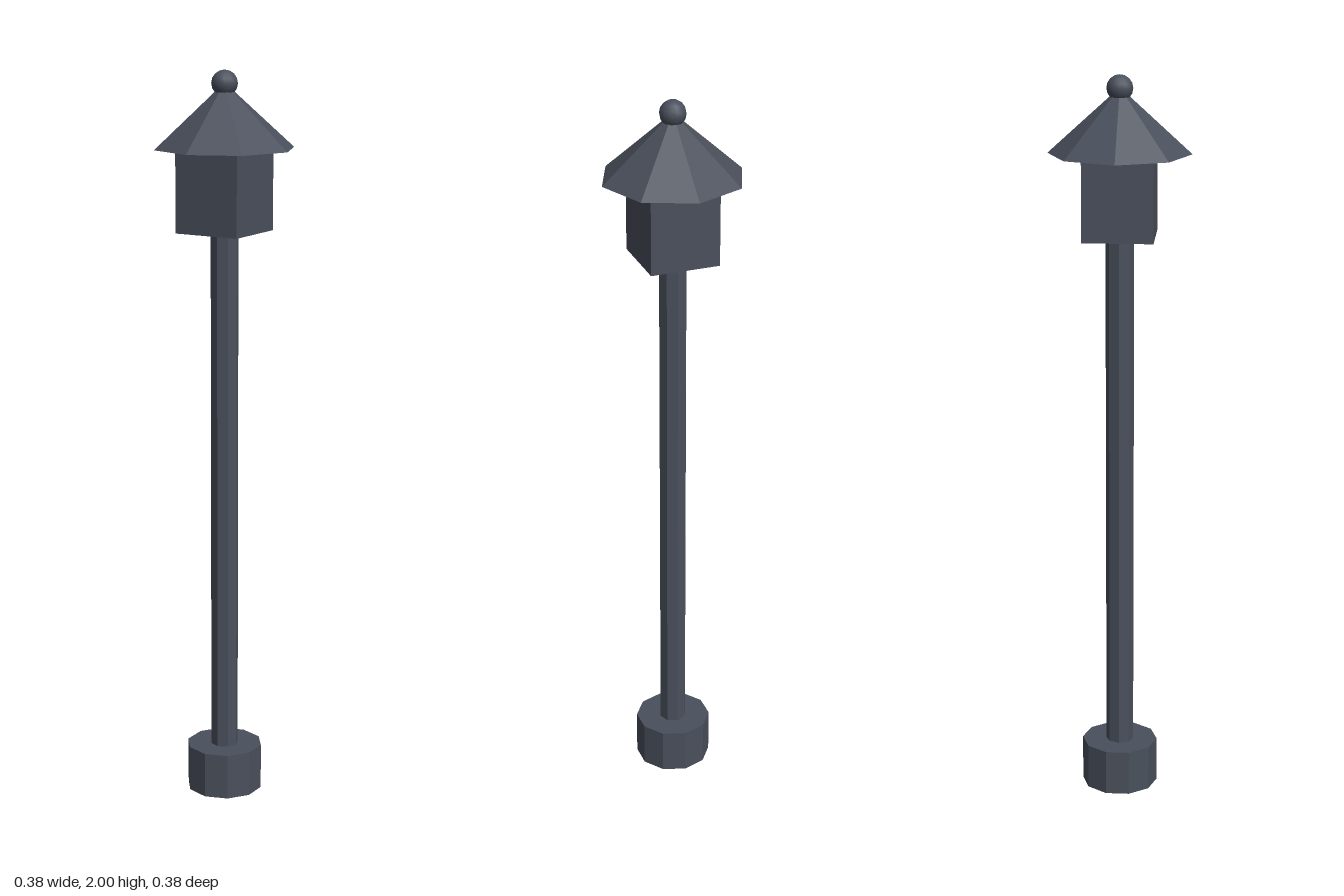
import * as THREE from 'three';

export function createModel() {
  const group = new THREE.Group();
  const faceted = new THREE.MeshStandardMaterial({ color: 0x4a505c, flatShading: true });
  const smooth = new THREE.MeshStandardMaterial({ color: 0x4a505c });

  // Adds a named part centred on the post axis
  const add = (name, geometry, y, material = faceted) => {
    const mesh = new THREE.Mesh(geometry, material);
    mesh.name = name;
    mesh.position.y = y;
    group.add(mesh);
  };

  const baseTop = 0.127, lanternBottom = 1.575, roofBottom = 1.795, roofTop = 1.967;
  const poleHeight = lanternBottom - baseTop;
  const lanternHeight = roofBottom - lanternBottom;
  const roofHeight = roofTop - roofBottom;

  // Ten-sided foot and eight-sided pole
  add('base', new THREE.CylinderGeometry(0.105, 0.105, baseTop, 10), baseTop / 2);
  add('pole', new THREE.CylinderGeometry(0.038, 0.038, poleHeight, 8), baseTop + poleHeight / 2);

  // Square lantern under an eight-sided roof
  add('lantern', new THREE.BoxGeometry(0.188, lanternHeight, 0.188), lanternBottom + lanternHeight / 2);
  add('roof', new THREE.ConeGeometry(0.19, roofHeight, 8), roofBottom + roofHeight / 2);

  // Ball on the roof tip
  add('finial', new THREE.SphereGeometry(0.035, 12, 8), 1.965, smooth);

  return group;
}
